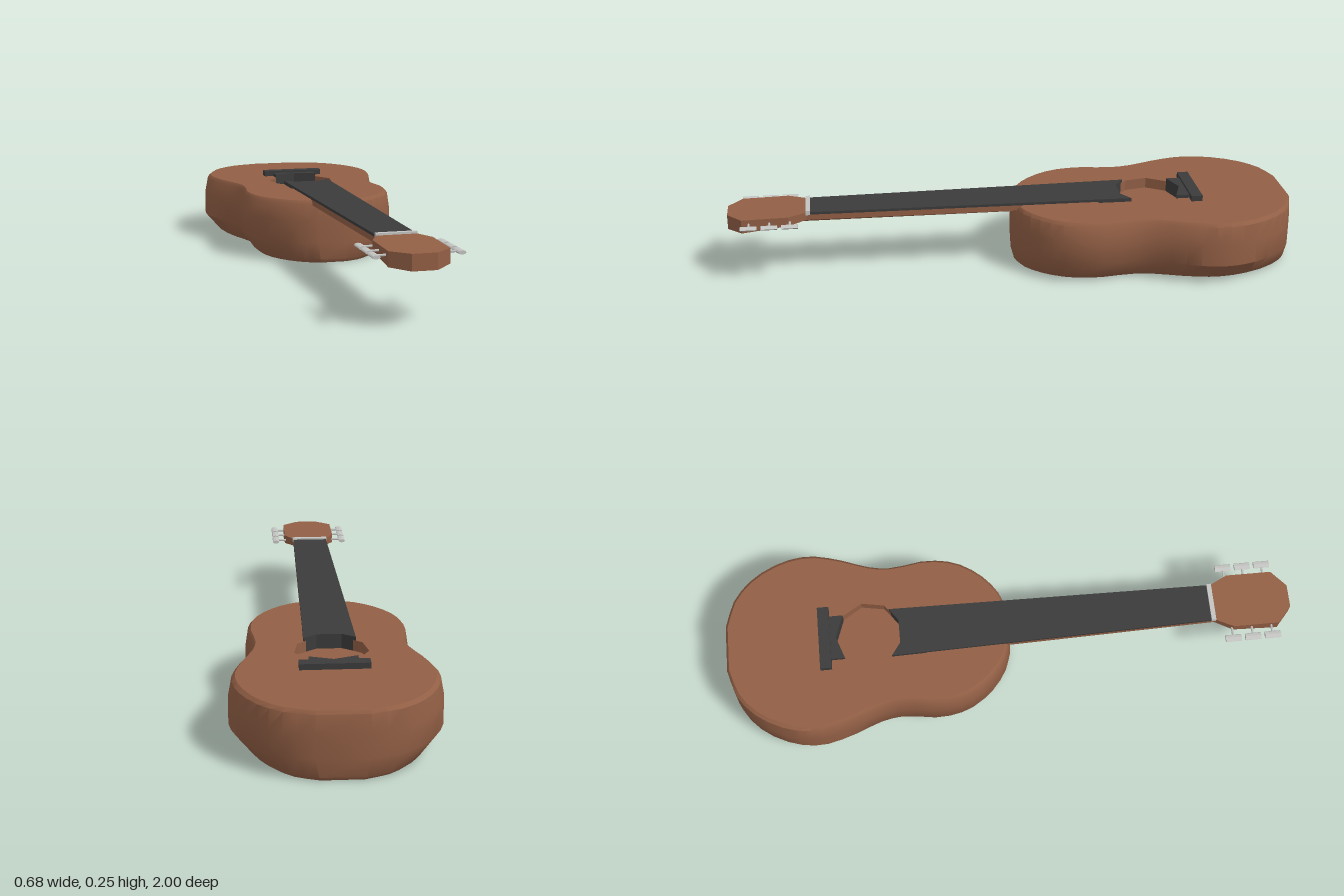
import * as THREE from 'three';
import { toCreasedNormals } from 'three/addons/utils/BufferGeometryUtils.js';

export function createModel() {
  const model = new THREE.Group();
  model.name = 'guitar';
  const material = (name, color, side = THREE.FrontSide) => {
    const m = new THREE.MeshStandardMaterial({ color, side });
    m.name = name;
    return m;
  };
  const wood = material('wood', 0x925f45, THREE.DoubleSide);
  const ebony = material('ebony', 0x3b3b3b);
  const metal = material('metal', 0xc4c4c2);

  const add = (name, geometry, mat, parent = model) => {
    const mesh = new THREE.Mesh(geometry, mat);
    mesh.name = name;
    parent.add(mesh);
    return mesh;
  };
  const box = (name, mat, w, h, d, x, y, z, parent) =>
    add(name, new THREE.BoxGeometry(w, h, d), mat, parent).position.set(x, y, z);

  // Flat slab from a plan outline of [x, z] points, between two heights
  const slab = (name, mat, points, y0, y1) => {
    const shape = new THREE.Shape(points.map(([x, z]) => new THREE.Vector2(x, -z)));
    const g = new THREE.ExtrudeGeometry(shape, { depth: y1 - y0, bevelEnabled: false });
    g.rotateX(-Math.PI / 2).translate(0, y0, 0);
    return add(name, g, mat);
  };

  // Loft closed loops of equal length, lowest first
  const loft = (loops, crease) => {
    const n = loops[0].length;
    const index = [];
    for (let r = 0; r < loops.length - 1; r++) {
      for (let i = 0; i < n; i++) {
        const a = r * n + i, b = r * n + (i + 1) % n;
        index.push(a, b, b + n, a, b + n, a + n);
      }
    }
    const g = new THREE.BufferGeometry();
    g.setAttribute('position', new THREE.Float32BufferAttribute(loops.flat(2), 3));
    g.setIndex(index);
    return toCreasedNormals(g, crease);
  };

  // Figure-eight body outline: half curve mirrored across x
  const half = new THREE.CatmullRomCurve3([
    [0.06, 0], [0.13, -0.025], [0.205, -0.085], [0.26, -0.17], [0.278, -0.27], [0.262, -0.4],
    [0.274, -0.48], [0.312, -0.58], [0.339, -0.69], [0.325, -0.79], [0.27, -0.895],
    [0.19, -0.965], [0.085, -1],
  ].map(([x, z]) => new THREE.Vector3(x, 0, z))).getPoints(26).map((p) => [p.x, p.z]);
  const outline = [...half, ...half.slice().reverse().map(([x, z]) => [-x, z])];
  const scaled = (sx, sz) => outline.map(([x, z]) => [x * sx, -0.5 + (z + 0.5) * sz]);

  // Body sides: [height, x scale, z scale]
  const rings = [
    [0, 0.78, 0.975], [0.013, 0.84, 0.995], [0.075, 1, 1], [0.155, 1, 1],
    [0.217, 0.965, 0.995], [0.228, 0.93, 0.978],
  ];
  add('bodySides', loft(rings.map(([y, sx, sz]) =>
    scaled(sx, sz).map(([x, z]) => [x, y, z])), 0.65), wood);

  // Nine-sided sound hole
  const hole = { z: -0.494, r: 0.118, sx: 1.05, floor: 0.19, sides: 9 };
  const holePoints = [];
  for (let i = 0; i < hole.sides; i++) {
    const t = Math.PI + (i / hole.sides) * Math.PI * 2;
    holePoints.push(new THREE.Vector2(Math.sin(t) * hole.r * hole.sx, -(hole.z + Math.cos(t) * hole.r)));
  }
  const topShape = new THREE.Shape(scaled(0.93, 0.978).map(([x, z]) => new THREE.Vector2(x, -z)));
  topShape.holes.push(new THREE.Path(holePoints));
  add('bodyTop', new THREE.ShapeGeometry(topShape).rotateX(-Math.PI / 2).translate(0, 0.228, 0), wood);
  const backShape = new THREE.Shape(scaled(0.78, 0.975).map(([x, z]) => new THREE.Vector2(x, z)));
  add('bodyBack', new THREE.ShapeGeometry(backShape).rotateX(Math.PI / 2), wood);

  const depth = 0.228 - hole.floor;
  const wall = new THREE.CylinderGeometry(hole.r, hole.r, depth, hole.sides, 1, true, Math.PI);
  wall.scale(hole.sx, 1, 1).translate(0, hole.floor + depth / 2, hole.z);
  add('soundHoleWall', toCreasedNormals(wall, 0.3), wood);
  const floor = new THREE.ShapeGeometry(new THREE.Shape(holePoints));
  add('soundHoleFloor', floor.rotateX(-Math.PI / 2).translate(0, hole.floor, 0), wood);

  // Neck with bevelled underside
  const neckLoop = (z, w) => [
    [-w, 0.234, z], [-w, 0.212, z], [-w * 0.6, 0.197, z],
    [w * 0.6, 0.197, z], [w, 0.212, z], [w, 0.234, z],
  ];
  add('neck', loft([neckLoop(-0.03, 0.079), neckLoop(0.74, 0.064)], 0.3), wood);

  // Fretboard, its end cut to the sound hole
  const boardEnd = [[0.087, -0.418], [0.042, -0.386], [-0.042, -0.386], [-0.087, -0.418]];
  slab('fretboard', ebony, [[-0.066, 0.72], [0.066, 0.72], ...boardEnd], 0.232, 0.241);
  slab('fretboardEnd', ebony, [[-0.085, -0.3], [0.085, -0.3], ...boardEnd], hole.floor, 0.2405);

  // Bridge and the tongue that meets the sound hole
  slab('bridgeTongue', ebony,
    [[-0.08, -0.64], [-0.08, -0.582], [0, -0.61], [0.08, -0.582], [0.08, -0.64]], hole.floor, 0.24);
  box('bridge', ebony, 0.228, 0.022, 0.04, 0, 0.237, -0.65);

  box('nut', metal, 0.136, 0.016, 0.016, 0, 0.239, 0.722);

  // Headstock, thickening toward its tip
  const head = slab('headstock', wood, [
    [0.066, 0.728], [0.097, 0.79], [0.097, 0.95], [0.04, 1],
    [-0.04, 1], [-0.097, 0.95], [-0.097, 0.79], [-0.066, 0.728],
  ], 0, 1);
  const p = head.geometry.attributes.position;
  for (let i = 0; i < p.count; i++) {
    const t = (p.getZ(i) - 0.728) / 0.272;
    const bottom = 0.213 - 0.031 * t, top = 0.24 - 0.005 * t;
    p.setY(i, p.getY(i) > 0.5 ? top : bottom);
  }
  head.geometry.computeVertexNormals();

  // Tuning pegs, three per side
  for (const side of [1, -1]) {
    for (const z of [0.785, 0.855, 0.925]) {
      const peg = new THREE.Group();
      peg.name = side > 0 ? 'leftTuningPeg' : 'rightTuningPeg';
      peg.position.set(0, 0.22, z);
      model.add(peg);
      const post = new THREE.CylinderGeometry(0.004, 0.004, 0.05, 6).rotateZ(Math.PI / 2);
      add('post', post, metal, peg).position.x = side * 0.105;
      const button = new THREE.CylinderGeometry(0.013, 0.013, 0.056, 8).rotateX(Math.PI / 2);
      button.scale(1, 0.5, 1);
      add('button', toCreasedNormals(button, 0.9), metal, peg).position.x = side * 0.134;
    }
  }
  return model;
}
